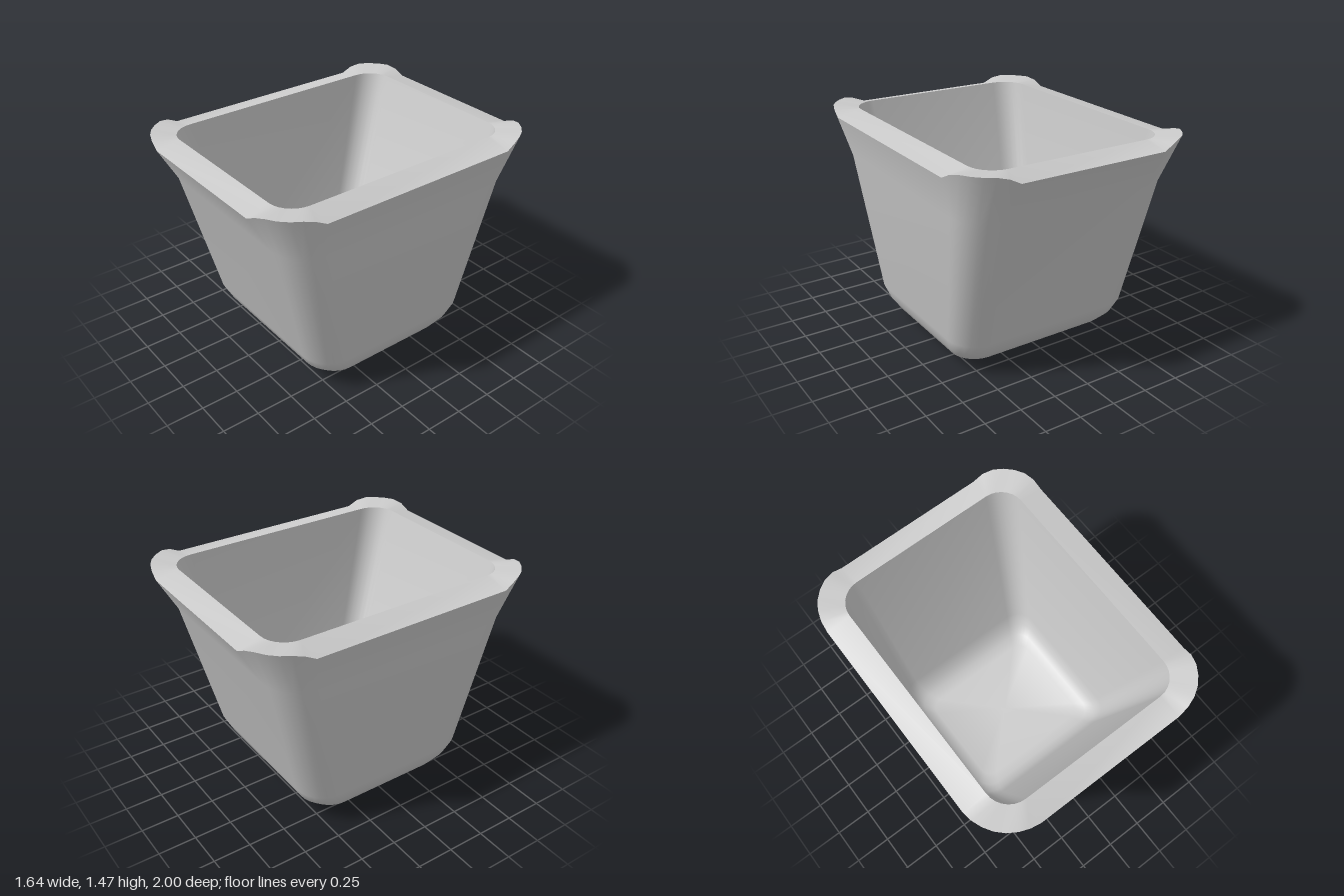
import * as THREE from 'three';
import { toCreasedNormals } from 'three/addons/utils/BufferGeometryUtils.js';

const CORNER_STEPS = 7;

// Rounded rectangle loop; lift raises the middle of each corner.
function ring({ y, hx, hz, r, lift = 0, tilt = 0 }) {
  const points = [];
  const centres = [[1, 1], [-1, 1], [-1, -1], [1, -1]];
  centres.forEach(([sx, sz], corner) => {
    for (let i = 0; i <= CORNER_STEPS; i++) {
      const t = i / CORNER_STEPS;
      const a = (corner + t) * Math.PI / 2;
      const x = sx * (hx - r) + Math.cos(a) * r;
      const z = sz * (hz - r) + Math.sin(a) * r;
      const raise = lift * Math.min(1, 1.6 * Math.sin(Math.PI * t));
      points.push(x, y + raise + tilt * x, z);
    }
  });
  return points;
}

// Skin joining successive loops, with an optional flat cap on either end.
function loft(name, sections, material, { capStart = false, capEnd = false } = {}) {
  const n = 4 * (CORNER_STEPS + 1);
  const positions = sections.flatMap(ring);
  const index = [];
  for (let s = 0; s < sections.length - 1; s++) {
    for (let i = 0; i < n; i++) {
      const j = (i + 1) % n;
      const a = s * n + i, b = s * n + j, c = a + n, d = b + n;
      index.push(a, c, b, b, c, d);
    }
  }
  const cap = (s, up) => {
    const centre = positions.length / 3;
    positions.push(0, sections[s].y, 0);
    for (let i = 0; i < n; i++) {
      const a = s * n + i, b = s * n + (i + 1) % n;
      index.push(centre, ...(up ? [b, a] : [a, b]));
    }
  };
  if (capStart) cap(0, false);
  if (capEnd) cap(sections.length - 1, true);

  const geometry = new THREE.BufferGeometry();
  geometry.setAttribute('position', new THREE.Float32BufferAttribute(positions, 3));
  geometry.setIndex(index);
  const mesh = new THREE.Mesh(toCreasedNormals(geometry, 0.7), material);
  mesh.name = name;
  return mesh;
}

export function createModel() {
  const group = new THREE.Group();
  group.name = 'taperedPlanter';
  const material = new THREE.MeshStandardMaterial({ color: 0xcccccc });

  // Shared edges of the lip
  const lipOuter = { y: 1.42, hx: 0.82, hz: 1.0, r: 0.31, lift: 0.05, tilt: 0.006 };
  const lipInner = { y: 1.455, hx: 0.655, hz: 0.845, r: 0.16, tilt: 0.006 };

  // Outside: rounded foot, tapered walls, flared collar
  group.add(loft('outerShell', [
    { y: 0, hx: 0.44, hz: 0.33, r: 0.12 },
    { y: 0.02, hx: 0.5, hz: 0.41, r: 0.14 },
    { y: 0.075, hx: 0.58, hz: 0.505, r: 0.17 },
    { y: 0.15, hx: 0.63, hz: 0.58, r: 0.19 },
    { y: 0.24, hx: 0.662, hz: 0.625, r: 0.2 },
    { y: 1.15, hx: 0.74, hz: 0.85, r: 0.22 },
    lipOuter,
  ], material, { capStart: true }));

  // Sloping top of the lip, raised at the corners
  group.add(loft('rim', [lipOuter, lipInner], material));

  // Inside: tapered walls, filleted down to a flat floor
  group.add(loft('innerShell', [
    lipInner,
    { y: 0.27, hx: 0.55, hz: 0.52, r: 0.13 },
    { y: 0.18, hx: 0.525, hz: 0.475, r: 0.12 },
    { y: 0.125, hx: 0.48, hz: 0.42, r: 0.1 },
    { y: 0.1, hx: 0.42, hz: 0.35, r: 0.08 },
  ], material, { capEnd: true }));

  return group;
}
